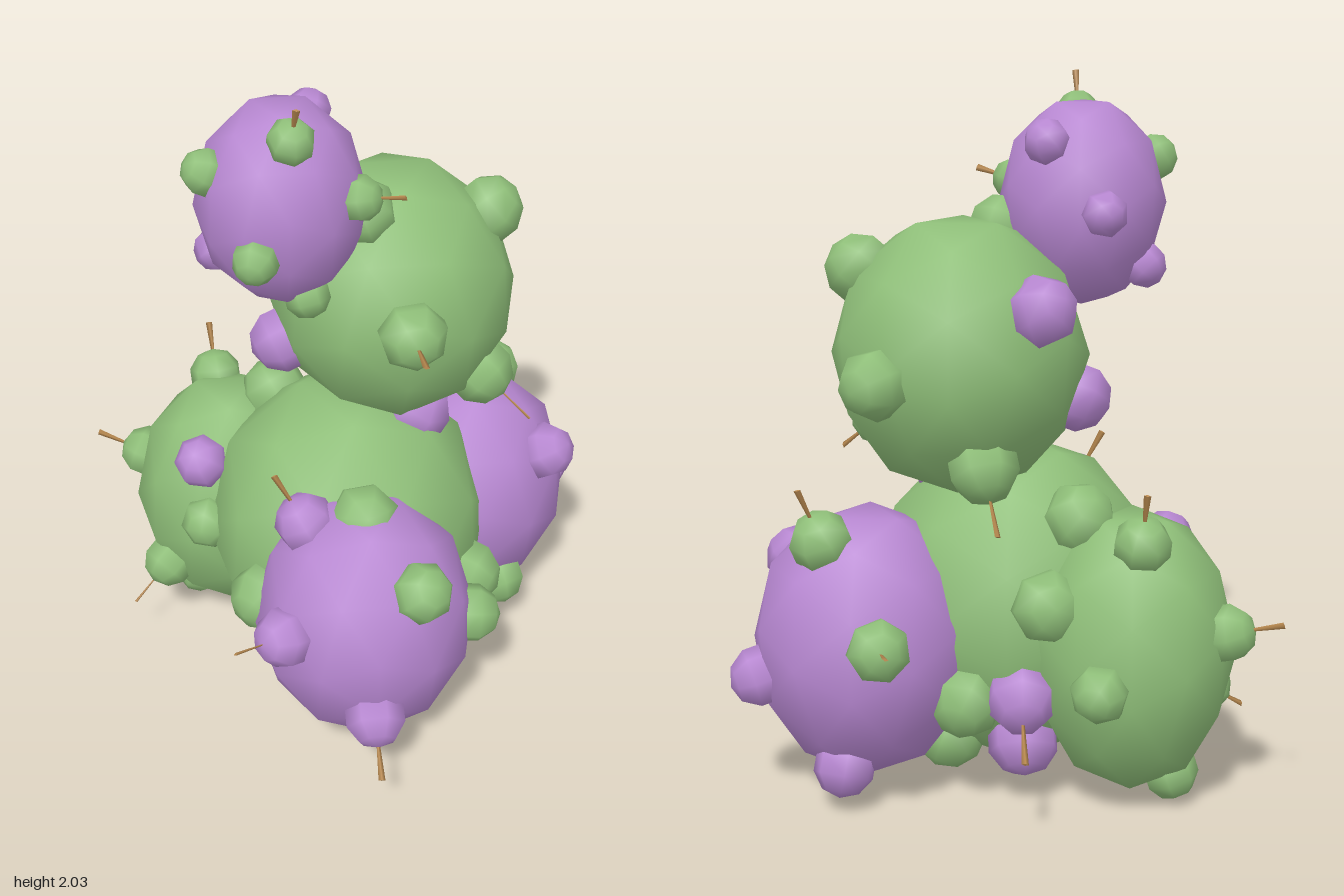
import * as THREE from 'three';
import { mergeVertices } from 'three/addons/utils/BufferGeometryUtils.js';

const UP = new THREE.Vector3(0, 1, 0);
// Turns a corner face of the icosahedron upward, giving each lobe a flat crown
const FACE_UP = new THREE.Quaternion().setFromUnitVectors(
  new THREE.Vector3(1, 1, 1).normalize(), UP);

function material(name, color) {
  const m = new THREE.MeshStandardMaterial({ color });
  m.name = name;
  return m;
}

// Low-poly lobe with smooth normals
function lobeGeometry(width, height) {
  const g = new THREE.IcosahedronGeometry(1, 1);
  g.deleteAttribute('uv');
  g.deleteAttribute('normal');
  const ball = mergeVertices(g, 1e-4);
  ball.applyQuaternion(FACE_UP);
  ball.scale(width, height, width);
  ball.computeVertexNormals();
  return ball;
}

export function createModel() {
  const model = new THREE.Group();
  model.name = 'knobblyCactus';
  const green = material('leafGreen', 0x8fbf79);
  const purple = material('softPurple', 0xb888d2);
  const brown = material('spineBrown', 0xb98a50);

  function addMesh(parent, name, geometry, mat) {
    const mesh = new THREE.Mesh(geometry, mat);
    mesh.name = name;
    parent.add(mesh);
    return mesh;
  }

  // One ball of the cactus; returns a helper that plants bumps on its surface
  function addLobe(name, mat, x, y, z, width, height) {
    const lobe = new THREE.Group();
    lobe.name = name;
    lobe.position.set(x, y, z);
    model.add(lobe);
    addMesh(lobe, 'lobeBall', lobeGeometry(width, height), mat);

    const bumpGeo = new THREE.SphereGeometry(Math.min(0.28 * width, 0.106), 7, 5);
    // Spine: flat blade, pointed at the bump and wider at its outer end
    const spineLength = 0.57 * width;
    const spineGeo = new THREE.CylinderGeometry(0.01, 0.001, spineLength, 4);
    spineGeo.scale(1, 1, 0.4);
    spineGeo.translate(0, spineLength / 2, 0);

    // Heading 0 is the front and 90 the model's left; pitch is up from level
    return (bumpMat, heading, pitch, hasSpine = false) => {
      const bump = addMesh(lobe, 'bump', bumpGeo, bumpMat);
      bump.position.setFromSphericalCoords(
        0.96, THREE.MathUtils.degToRad(90 - pitch), THREE.MathUtils.degToRad(heading));
      bump.position.multiply(new THREE.Vector3(width, height, width));
      bump.quaternion.setFromUnitVectors(UP, bump.position.clone().normalize());
      if (hasSpine) addMesh(bump, 'spine', spineGeo, brown);
    };
  }

  // Top ball
  const head = addLobe('headLobe', purple, -0.14, 1.65, 0.03, 0.237, 0.298);
  head(green, 15, 56, true);
  head(green, -70, 25);
  head(green, 68, 10, true);
  head(green, -16, -13);
  head(green, 35, -58);
  head(purple, -100, -37);
  head(purple, 156, 38);
  head(purple, -156, -2);

  // Large ball under the head
  const upper = addLobe('upperLobe', green, 0.17, 1.245, -0.18, 0.362, 0.395);
  upper(green, 8, 8, true);
  upper(green, 97, 38);
  upper(green, 63, -34, true);
  upper(green, 152, -5);
  upper(green, -153, -46, true);
  upper(green, -32, 60);
  upper(purple, -125, 24);
  upper(purple, -75, -20);

  // Central base ball
  const body = addLobe('bodyLobe', green, 0.04, 0.5, -0.04, 0.43, 0.48);
  body(purple, 90, 60);
  body(green, -135, 41);
  body(green, 8, 34);
  body(green, -36, -5);
  body(green, 64, -11);
  body(green, 52, -42);
  body(green, 135, -56);
  body(green, 75, -66);
  body(green, -157, 12);
  body(green, 169, -25);
  body(purple, -167, -22, true);
  body(purple, -165, -48);

  // Three balls around the base
  const front = addLobe('frontLobe', purple, 0.09, 0.44, 0.335, 0.325, 0.39);
  front(green, 40, 39);
  front(green, 90, -2);
  front(purple, -97, 57, true);
  front(purple, -48, 13, true);
  front(purple, 6, -24, true);
  front(green, 115, -60);

  const backLeft = addLobe('backLeftLobe', purple, 0.42, 0.435, -0.31, 0.325, 0.395);
  backLeft(purple, 63, 30);
  backLeft(purple, 119, -12);
  backLeft(purple, 169, -60);
  backLeft(green, 150, 58, true);
  backLeft(green, 28, -43);
  backLeft(green, -159, 11, true);

  const backRight = addLobe('backRightLobe', green, -0.33, 0.435, -0.25, 0.297, 0.41);
  backRight(green, -105, 12, true);
  backRight(green, -48, -25, true);
  backRight(green, -163, 60, true);
  backRight(green, 170, -5);
  backRight(green, -96, -66);
  backRight(green, -11, 12);
  backRight(purple, -19, 41);

  return model;
}
